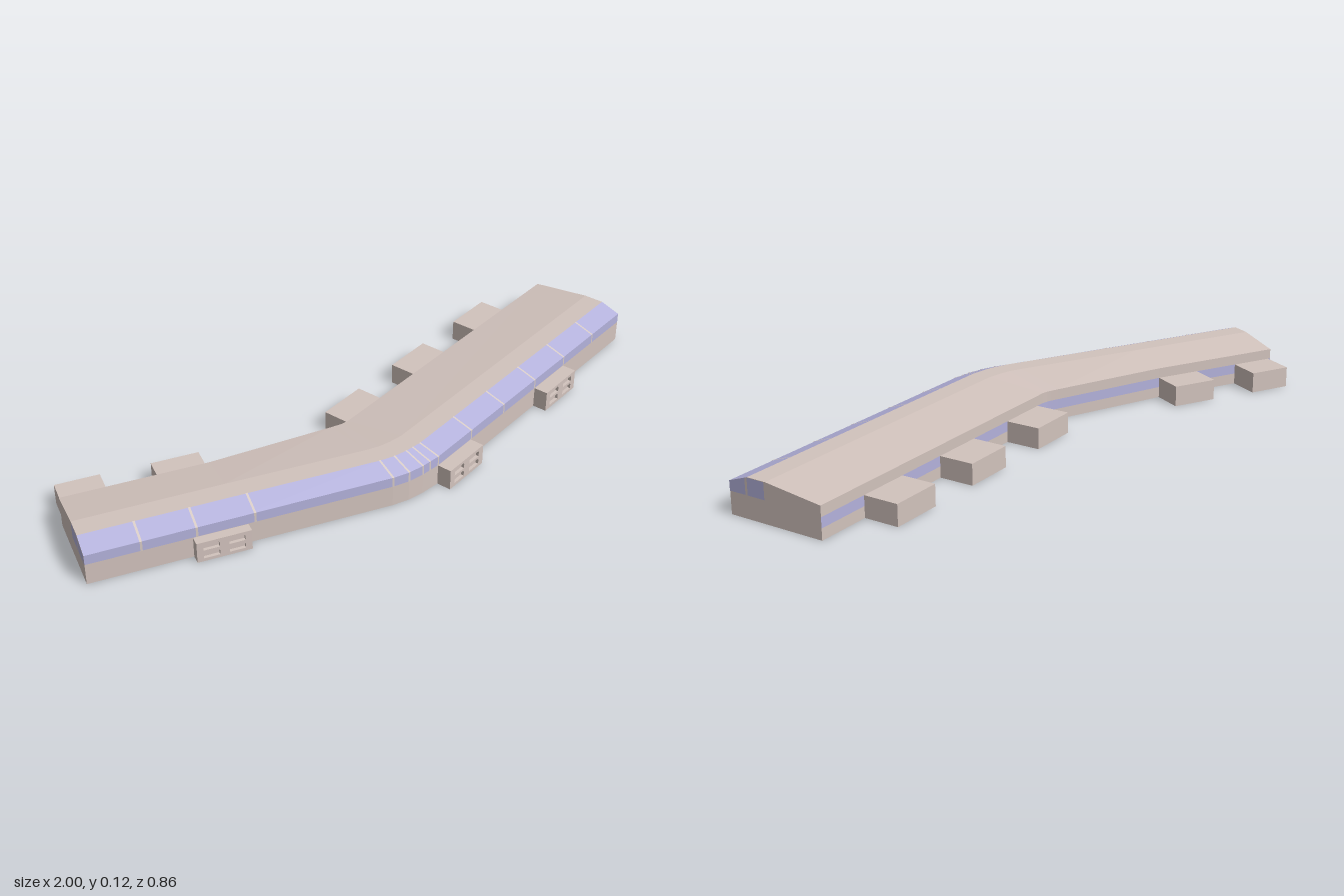
import * as THREE from 'three';

const wallMat = new THREE.MeshStandardMaterial({ color: 0xd2c3bd });
const glassMat = new THREE.MeshStandardMaterial({ color: 0xb4b2dc });
const frameMat = new THREE.MeshStandardMaterial({ color: 0xd6cac4, side: THREE.DoubleSide });

// Plan of the bent hall: [front x, front z, back x, back z] at each station
const stations = [
  [-1, -0.1, -0.867, -0.341],
  [-0.609, 0.117, -0.476, -0.123],
  [-0.2, 0.343, -0.118, 0.043],
  [-0.15, 0.364, -0.095, 0.053],
  [-0.1, 0.376, -0.08, 0.059],
  [-0.035, 0.384, -0.06, 0.063],
  [1, 0.384, 1, 0.063],
];
const WING = Math.atan2(0.485, 0.875);

// Cross-section, front to back: [inset from front wall, or from back wall if 'b'], height
const profile = [
  [0, 0], [0, 0.068], [0, 0.1], [0.065, 0.123], [0.13, 0.123],
  ['b', 0.1], ['b', 0.067], ['b', 0.035], ['b', 0],
];

// Place a section point at a station
function place([fx, fz, bx, bz], [s, y]) {
  const w = Math.hypot(bx - fx, bz - fz);
  const t = s === 'b' ? 1 : s / w;
  return [fx + (bx - fx) * t, y, fz + (bz - fz) * t];
}

function stationAt(x) {
  let i = 0;
  while (i < stations.length - 2 && x > stations[i + 1][0]) i++;
  const a = stations[i], b = stations[i + 1];
  const t = (x - a[0]) / (b[0] - a[0]);
  return a.map((v, k) => v + (b[k] - v) * t);
}

function meshFrom(name, positions, material) {
  const geo = new THREE.BufferGeometry();
  geo.setAttribute('position', new THREE.Float32BufferAttribute(positions, 3));
  geo.computeVertexNormals();
  const mesh = new THREE.Mesh(geo, material);
  mesh.name = name;
  return mesh;
}

// Sweep an open section along stations
function loft(name, path, section, material) {
  const out = [];
  for (let k = 0; k < path.length - 1; k++) {
    for (let i = 0; i < section.length - 1; i++) {
      const a = place(path[k], section[i]), b = place(path[k], section[i + 1]);
      const c = place(path[k + 1], section[i + 1]), d = place(path[k + 1], section[i]);
      out.push(...a, ...d, ...c, ...a, ...c, ...b);
    }
  }
  return meshFrom(name, out, material);
}

// Flat convex panel on an end wall
function endPanel(name, station, section, atLeft, material, lift = 0) {
  const [fx, fz, bx, bz] = station;
  const w = Math.hypot(bx - fx, bz - fz), sign = atLeft ? 1 : -1;
  const nx = (-(bz - fz) / w) * sign * lift, nz = ((bx - fx) / w) * sign * lift;
  const p = section.map((q) => place(station, q)).map(([x, y, z]) => [x + nx, y, z + nz]);
  const out = [];
  for (let i = 1; i < p.length - 1; i++) {
    if (atLeft) out.push(...p[0], ...p[i + 1], ...p[i]);
    else out.push(...p[0], ...p[i], ...p[i + 1]);
  }
  return meshFrom(name, out, material);
}

// Entrance or service block, placed by the middle of its outer face
function block(name, x, z, angle, length, depth, withWindows) {
  const g = new THREE.Group();
  g.name = name;
  const H = 0.067, plate = withWindows ? 0.01 : 0;
  const body = new THREE.Mesh(new THREE.BoxGeometry(length, H, depth - plate), wallMat);
  body.name = 'blockBody';
  body.position.set(0, H / 2, -plate - (depth - plate) / 2);
  g.add(body);
  if (withWindows) {
    // Front plate with four recessed openings
    const s = new THREE.Shape([[-1, 0], [1, 0], [1, 1], [-1, 1]]
      .map(([u, v]) => new THREE.Vector2((u * length) / 2, v * H)));
    for (const cx of [-0.038, 0.038]) for (const cy of [0.02, 0.048]) {
      const hole = [[-1, -1], [-1, 0.5], [-0.8, 1], [0.8, 1], [1, 0.5], [1, -1]];
      s.holes.push(new THREE.Path(hole.map(([u, v]) => new THREE.Vector2(cx + u * 0.024, cy + v * 0.01))));
    }
    const face = new THREE.Mesh(new THREE.ExtrudeGeometry(s, { depth: plate, bevelEnabled: false }), wallMat);
    face.name = 'windowedFace';
    face.position.z = -plate;
    g.add(face);
  }
  g.position.set(x, 0, z);
  g.rotation.y = angle;
  return g;
}

export function createModel() {
  const model = new THREE.Group();
  model.name = 'bentHall';

  // Walls, roof and glazing bands
  const band = (name, i, j, mat) => model.add(loft(name, stations, profile.slice(i, j + 1), mat));
  const flatBand = (name, i, mat) => band(name, i, i + 1, mat);
  flatBand('frontWall', 0, wallMat);
  flatBand('frontGlazing', 1, glassMat);
  flatBand('slopedGlazing', 2, glassMat);
  flatBand('roofTop', 3, wallMat);
  flatBand('rearRoofSlope', 4, wallMat);
  flatBand('rearUpperWall', 5, wallMat);
  flatBand('rearWindowBand', 6, glassMat);
  flatBand('rearLowerWall', 7, wallMat);
  model.add(loft('floor', stations, [['b', 0], [0, 0]], wallMat));

  // End walls with a pair of corner windows
  const outline = profile.filter((_, i) => ![1, 6, 7].includes(i));
  const panes = [
    [[0, 0.07], [0, 0.1], [0.057, 0.12], [0.057, 0.07]],
    [[0.065, 0.07], [0.065, 0.122], [0.125, 0.122], [0.125, 0.07]],
  ];
  for (const atLeft of [false, true]) {
    const st = stations[atLeft ? stations.length - 1 : 0];
    model.add(endPanel('endWall', st, outline, atLeft, wallMat));
    for (const p of panes) model.add(endPanel('endWindow', st, p, atLeft, glassMat, 0.001));
  }

  // Mullions over the front glazing
  const bar = [[-0.0015, 0.068], [-0.0015, 0.101], [0.065, 0.1245]];
  for (const x of [-0.86, -0.72, -0.57, -0.2, -0.15, -0.1, -0.07, -0.035, 0.135, 0.31, 0.485, 0.655, 0.83])
    model.add(loft('mullion', [stationAt(x - 0.003), stationAt(x + 0.003)], bar, frameMat));

  // Front entrance blocks
  for (const x of [0.05, 0.5725]) model.add(block('frontBlock', x, 0.43, 0, 0.168, 0.05, true));
  model.add(block('frontBlock', -0.674, 0.115, -WING, 0.163, 0.045, true));

  // Rear service blocks
  for (const x of [0.055, 0.3975, 0.74]) model.add(block('rearBlock', x, -0.05, Math.PI, 0.168, 0.117, false));
  model.add(block('rearBlock', -0.748, -0.398, Math.PI - WING, 0.137, 0.112, false));
  model.add(block('rearBlock', -0.492, -0.25, Math.PI - WING, 0.148, 0.112, false));

  return model;
}
